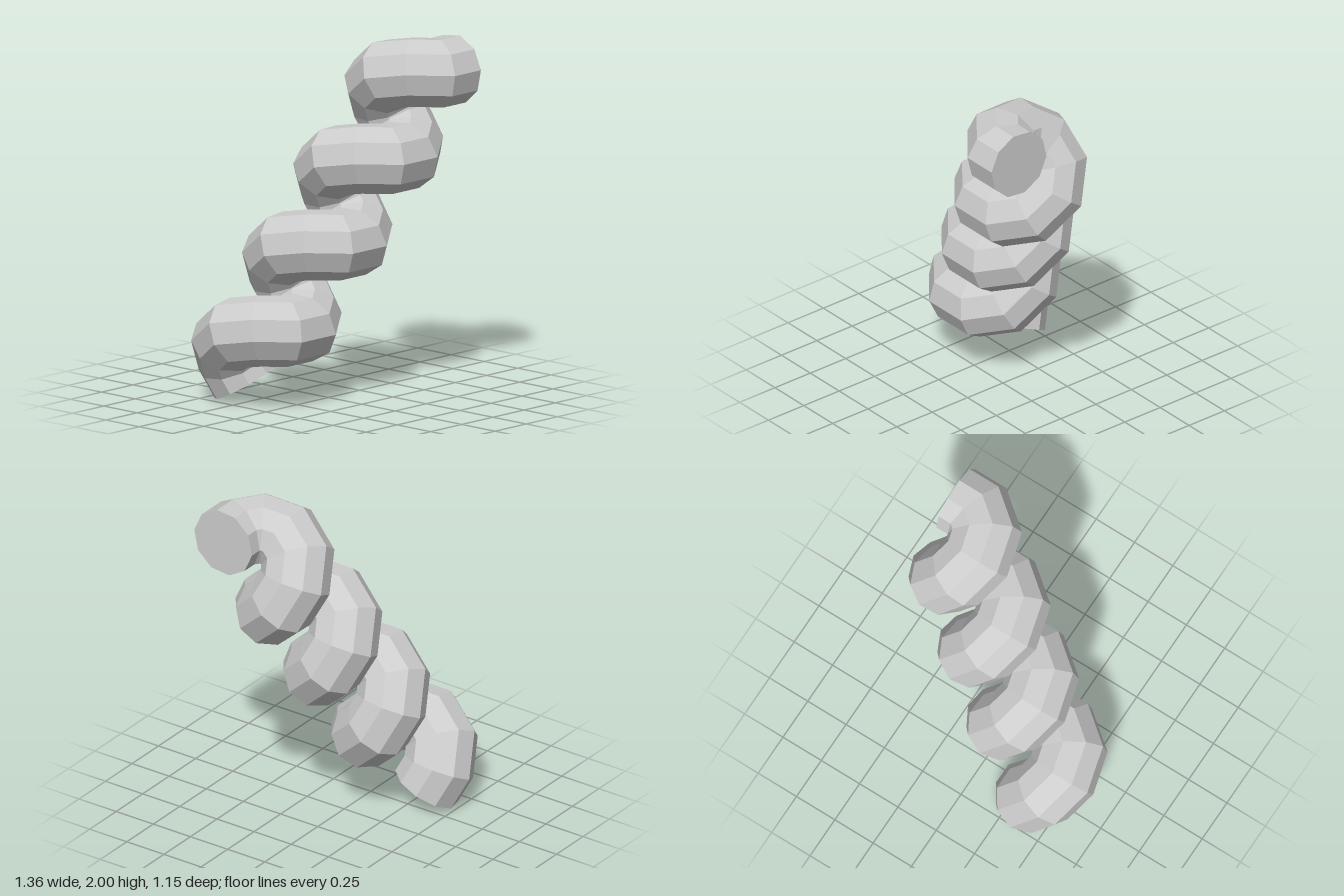
import * as THREE from 'three';

const SIDES = 10, STEPS_PER_TURN = 8, SEGMENTS = 30;
const RADIUS = 0.195, PHASE = THREE.MathUtils.degToRad(6);
const RISE = new THREE.Vector3(0.27, 0.46, 0.13); // shift of the coil per full turn

// Faceted helical tube: straight ten-sided lengths joined by mitres
function coilGeometry() {
  const axis = RISE.clone().normalize();
  const length = RISE.length() / (STEPS_PER_TURN * axis.x);
  // Direction of each length, walking from the upper end downwards
  const direction = (i) => new THREE.Vector3(-1, 0, 0)
    .applyAxisAngle(axis, -i * 2 * Math.PI / STEPS_PER_TURN);

  // First ring, square to the upper end
  const centre = new THREE.Vector3(0.61, 1.81, 0.37);
  let ring = [];
  for (let j = 0; j < SIDES; j++) {
    const a = PHASE + j * 2 * Math.PI / SIDES;
    ring.push(new THREE.Vector3(0, Math.sin(a) * RADIUS, Math.cos(a) * RADIUS).add(centre));
  }
  const rings = [ring];

  // Slide every corner along its length until it meets the next mitre plane
  for (let i = 0; i < SEGMENTS; i++) {
    const d = direction(i);
    const normal = d.clone();
    if (i < SEGMENTS - 1) normal.add(direction(i + 1)).normalize();
    centre.addScaledVector(d, length);
    ring = ring.map((p) => {
      const t = centre.clone().sub(p).dot(normal) / d.dot(normal);
      return p.clone().addScaledVector(d, t);
    });
    rings.push(ring);
  }

  const positions = [];
  const tri = (...points) => points.forEach((p) => positions.push(p.x, p.y, p.z));
  for (let i = 0; i < SEGMENTS; i++) {
    for (let j = 0; j < SIDES; j++) {
      const k = (j + 1) % SIDES;
      const a = rings[i][j], b = rings[i][k], c = rings[i + 1][k], d = rings[i + 1][j];
      tri(a, b, c);
      tri(a, c, d);
    }
  }
  // Flat end caps
  const first = rings[0], last = rings[SEGMENTS];
  for (let j = 1; j < SIDES - 1; j++) {
    tri(first[0], first[j + 1], first[j]);
    tri(last[0], last[j], last[j + 1]);
  }

  const geometry = new THREE.BufferGeometry();
  geometry.setAttribute('position', new THREE.Float32BufferAttribute(positions, 3));
  geometry.computeVertexNormals();
  // Centre the coil and stand it on the ground
  geometry.center();
  geometry.translate(0, -geometry.boundingBox.min.y, 0);
  return geometry;
}

export function createModel() {
  const group = new THREE.Group();
  group.name = 'leaningCoil';
  const material = new THREE.MeshStandardMaterial({ color: 0xcccccc, flatShading: true });
  const coil = new THREE.Mesh(coilGeometry(), material);
  coil.name = 'coilTube';
  group.add(coil);
  return group;
}
